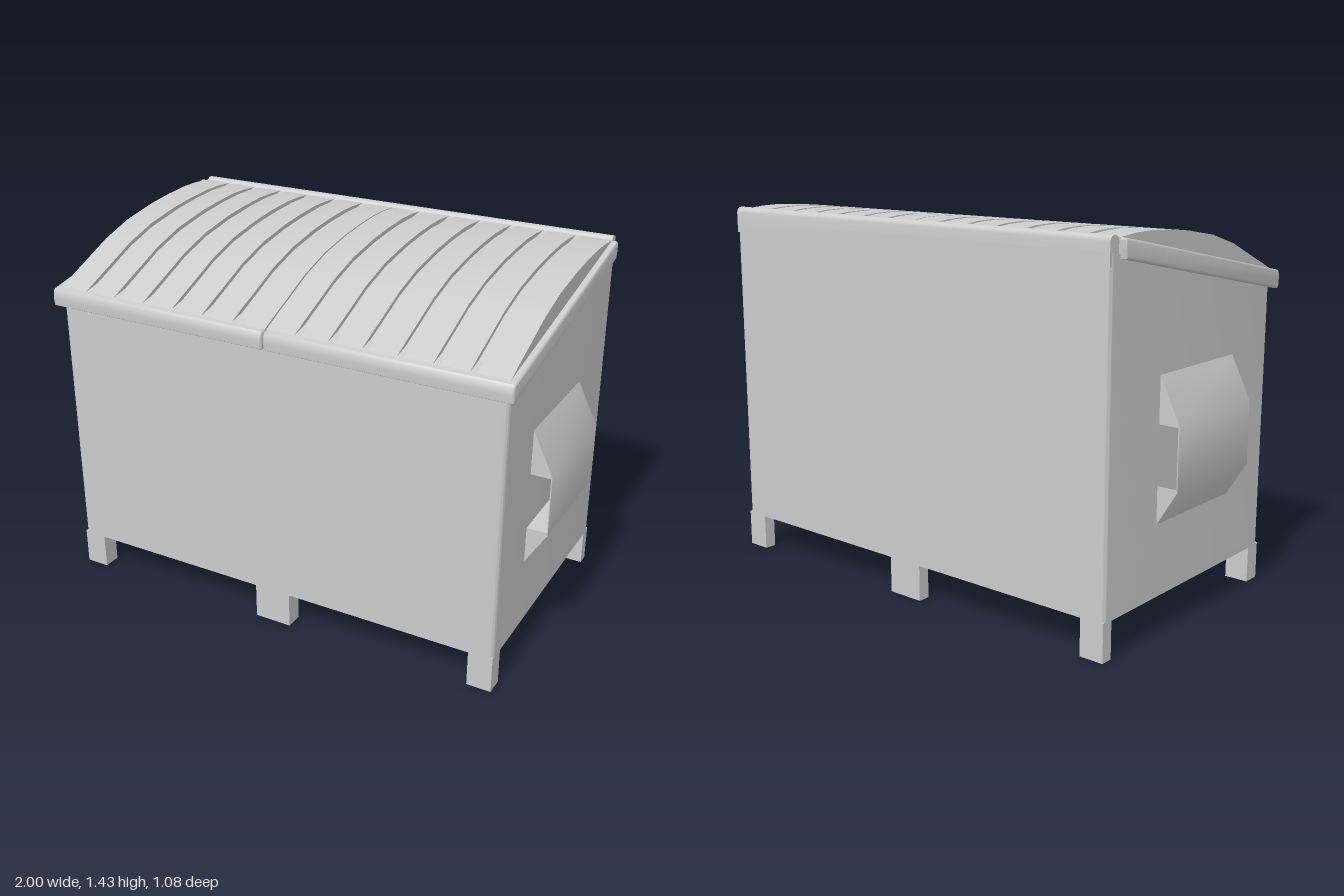
import * as THREE from 'three';
import { toCreasedNormals } from 'three/addons/utils/BufferGeometryUtils.js';

const material = new THREE.MeshStandardMaterial({ color: 0xcccccc });

function add(parent, name, geometry) {
  const mesh = new THREE.Mesh(geometry, material);
  mesh.name = name;
  parent.add(mesh);
  return mesh;
}

function box(parent, name, x0, x1, y0, y1, z0, z1) {
  const mesh = add(parent, name, new THREE.BoxGeometry(x1 - x0, y1 - y0, z1 - z0));
  mesh.position.set((x0 + x1) / 2, (y0 + y1) / 2, (z0 + z1) / 2);
}

// Side profile of [z, y] points, extruded along x from x0 to x1
function sweep(profile, x0, x1, bevel = 0) {
  const shape = new THREE.Shape(profile.map(([z, y]) => new THREE.Vector2(-z, y)));
  const g = new THREE.ExtrudeGeometry(shape, {
    depth: x1 - x0 - 2 * bevel, bevelEnabled: bevel > 0, bevelSize: bevel,
    bevelThickness: bevel, bevelOffset: -bevel, bevelSegments: 3,
  });
  g.rotateY(Math.PI / 2).translate(x0 + bevel, 0, 0);
  return toCreasedNormals(g, 0.65);
}

// Rounded rectangle in plan (shape y is -z)
function plan(Type, x, zBack, zFront, r) {
  const s = new Type();
  const a = -zFront, b = -zBack;
  s.moveTo(-x + r, a).lineTo(x - r, a).absarc(x - r, a + r, r, -Math.PI / 2, 0);
  s.lineTo(x, b - r).absarc(x - r, b - r, r, 0, Math.PI / 2);
  s.lineTo(-x + r, b).absarc(-x + r, b - r, r, Math.PI / 2, Math.PI);
  s.lineTo(-x, a + r).absarc(-x + r, a + r, r, Math.PI, Math.PI * 1.5);
  return s;
}

const X = 0.92, BACK = -0.535, FRONT = 0.51;

function buildBody(parent) {
  // Bin with rounded corners; its top slopes up towards the back
  const opts = { depth: 1, bevelEnabled: false, curveSegments: 5 };
  const bin = new THREE.ExtrudeGeometry(plan(THREE.Shape, X, BACK, FRONT, 0.02), opts);
  bin.rotateX(-Math.PI / 2);
  const p = bin.attributes.position;
  for (let i = 0; i < p.count; i++) {
    p.setY(i, p.getY(i) > 0.5 ? 1.275 - 0.19 * p.getZ(i) : 0.16);
  }
  add(parent, 'bin', toCreasedNormals(bin, 0.6));

  // Shallow frame around the floor
  const ring = plan(THREE.Shape, X, BACK, FRONT, 0.02);
  ring.holes.push(plan(THREE.Path, X - 0.05, BACK + 0.05, FRONT - 0.05, 0.005));
  const frame = new THREE.ExtrudeGeometry(ring, { ...opts, depth: 0.02 });
  frame.rotateX(-Math.PI / 2).translate(0, 0.14, 0);
  add(parent, 'floorFrame', toCreasedNormals(frame, 0.6));

  // Back wall edge with a rounded top
  const top = [[BACK, 1.33], [-0.487, 1.33]];
  for (let i = 0; i <= 8; i++) {
    const t = i / 8 * Math.PI;
    top.push([-0.511 + 0.024 * Math.cos(t), 1.41 + 0.021 * Math.sin(t)]);
  }
  add(parent, 'backEdge', sweep(top, -X + 0.002, X - 0.002));

  // Corner and middle feet
  for (const [x0, x1] of [[-X, -0.825], [-0.075, 0.075], [0.825, X]]) {
    box(parent, 'frontFoot', x0, x1, 0, 0.145, 0.44, FRONT);
    box(parent, 'backFoot', x0, x1, 0, 0.145, BACK, -0.487);
  }
}

// Fork pocket: tapered sleeve, open front to back
function buildPocket(parent, s) {
  const pts = list => list.map(([x, y]) => new THREE.Vector2(s * x, y));
  const shape = new THREE.Shape(pts([[0.915, 0.41], [0.92, 0.41], [1, 0.54], [1, 0.775], [0.92, 0.94], [0.915, 0.94]]));
  shape.holes.push(new THREE.Path(pts([[0.918, 0.55], [0.996, 0.55], [0.996, 0.768], [0.918, 0.768]])));
  const g = new THREE.ExtrudeGeometry(shape, { depth: 0.478, bevelEnabled: false });
  g.translate(0, 0, -0.228);
  add(parent, s > 0 ? 'leftForkPocket' : 'rightForkPocket', toCreasedNormals(g, 0.65));
}

const RIM = [[0.528, 1.155], [0.537, 1.16], [0.54, 1.19], [0.537, 1.215], [0.53, 1.225],
  [-0.478, 1.421], [-0.486, 1.415], [-0.486, 1.39], [-0.48, 1.353]];
const DOME = [[0.51, 1.229], [0.44, 1.259], [0.36, 1.291], [0.227, 1.346], [0.08, 1.388],
  [-0.083, 1.414], [-0.2, 1.425], [-0.318, 1.431], [-0.4, 1.429], [-0.485, 1.421]];
const GROOVE = DOME.map(([z, y], i) => [z, i === 0 || i === DOME.length - 1 ? y - 0.003 : y - 0.016]);
const close = curve => [...curve, [-0.485, 1.38], [0.51, 1.2]];

// Lid half: sloping rim, domed panels and the grooves between them
function buildLid(parent, s) {
  const lid = new THREE.Group();
  lid.name = s > 0 ? 'leftLid' : 'rightLid';
  parent.add(lid);
  const span = (profile, a, b, bevel) => sweep(profile, Math.min(s * a, s * b), Math.max(s * a, s * b), bevel);
  add(lid, 'rim', span(RIM, 0.003, 0.945, 0.008));
  let start = 0.003;
  for (let i = 0; i < 6; i++) {
    const x = 0.13 + 0.132 * i;
    add(lid, 'panel', span(close(DOME), start, x - 0.012));
    add(lid, 'groove', span(close(GROOVE), x - 0.012, x + 0.012));
    start = x + 0.012;
  }
  add(lid, 'panel', span(close(DOME), start, X));
}

export function createModel() {
  const model = new THREE.Group();
  model.name = 'wasteContainer';
  buildBody(model);
  for (const s of [1, -1]) {
    buildPocket(model, s);
    buildLid(model, s);
  }
  return model;
}
